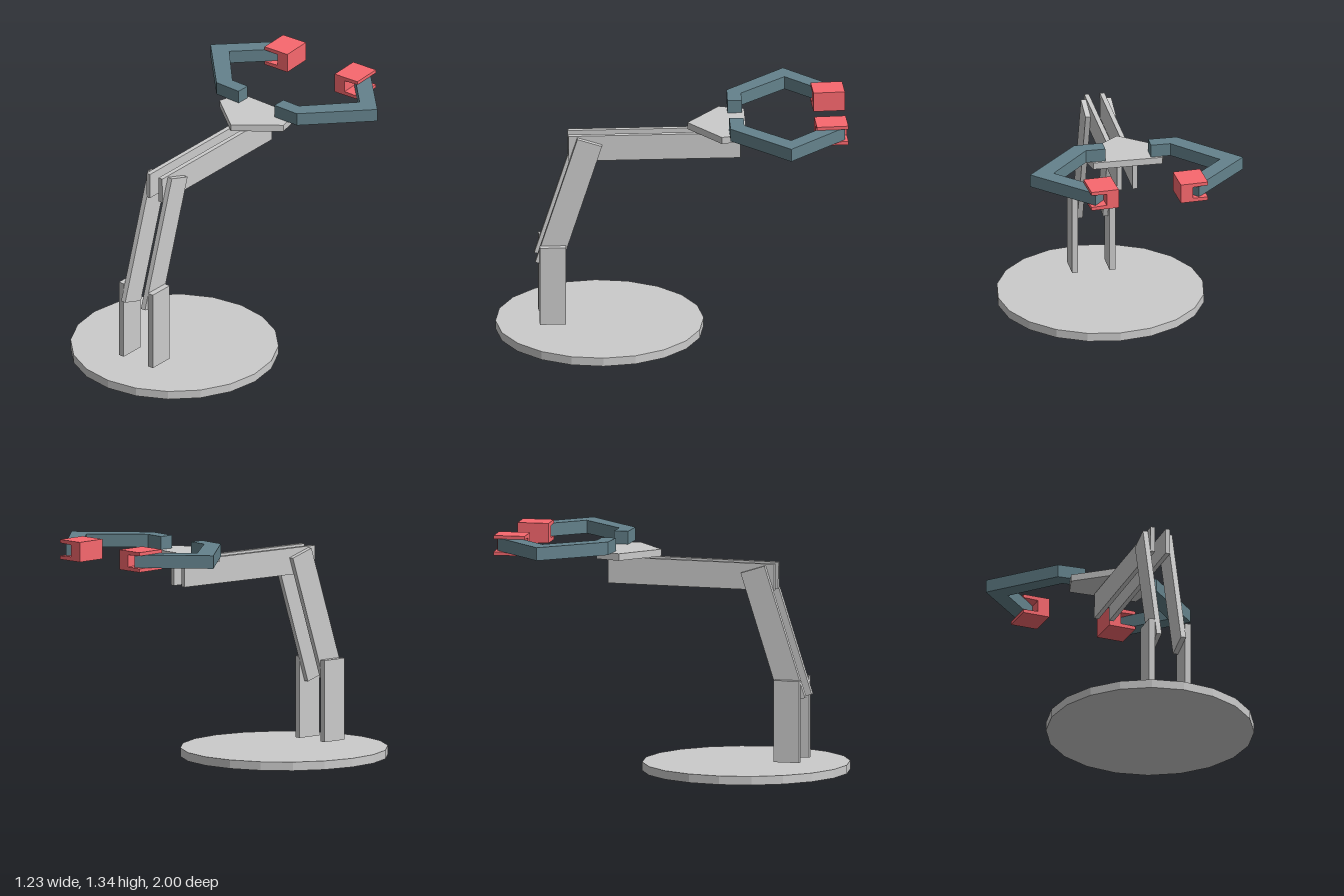
import * as THREE from 'three';

const mat = (color) => new THREE.MeshStandardMaterial({ color, flatShading: true });

// Flat slab from an outline of [x, z] points, between heights y0 and y1
function slab(points, y0, y1) {
  const shape = new THREE.Shape(points.map(([x, z]) => new THREE.Vector2(x, -z)));
  const geo = new THREE.ExtrudeGeometry(shape, { depth: y1 - y0, bevelEnabled: false });
  return geo.rotateX(-Math.PI / 2).translate(0, y0, 0);
}

export function createModel() {
  const model = new THREE.Group();
  model.name = 'robotArm';
  const grey = mat(0xcccccc), teal = mat(0x64828c), red = mat(0xf8686e);

  const add = (name, geo, material, x = 0, y = 0, z = 0) => {
    const mesh = new THREE.Mesh(geo, material);
    mesh.name = name;
    mesh.position.set(x, y, z);
    model.add(mesh);
    return mesh;
  };

  // Round base with 20 sides
  add('base', new THREE.CylinderGeometry(0.593, 0.593, 0.05, 20), grey, -0.002, 0.025, 0.405);

  // Wrist plate: a five-sided shield pointing forwards
  add('wristPlate', slab([[0, -0.095], [0.233, -0.282], [0.2, -0.425], [-0.2, -0.425], [-0.239, -0.282]], 1.21, 1.25), grey);

  // Bent finger outline and the C-shaped profile of its tip
  const finger = [[0.132, -0.41], [0.132, -0.328], [0.297, -0.33], [0.617, -0.663],
    [0.3, -0.98], [0.236, -0.915], [0.482, -0.667], [0.245, -0.41]];
  const clamp = [[-0.08, -0.057], [0.08, -0.057], [0.08, -0.037], [-0.01, -0.034],
    [-0.01, 0.034], [0.08, 0.037], [0.08, 0.057], [-0.08, 0.057]];

  for (const side of [1, -1]) {
    const label = side > 0 ? 'left' : 'right';
    const cx = (x) => side * x - 0.002;

    // Paired arm bars, each pair sitting inside the one below
    add(label + 'Post', new THREE.BoxGeometry(0.035, 0.47, 0.15), grey, cx(0.108), 0.305, 0.675);
    add(label + 'LowerArm', new THREE.BoxGeometry(0.03, 0.787, 0.147), grey, cx(0.073), 0.7925, 0.585)
      .rotation.x = -0.31;
    add(label + 'UpperArm', new THREE.BoxGeometry(0.027, 0.152, 0.98), grey, cx(0.045), 1.125, 0.095)
      .rotation.x = 0.007;

    // Finger
    add(label + 'Finger', slab(finger.map(([x, z]) => [side * x - 0.004, z]), 1.25, 1.325), teal);

    // Fingertip clamp, open towards the outside
    const shape = new THREE.Shape(clamp.map(([x, y]) => new THREE.Vector2(side * x, y)));
    const tip = new THREE.ExtrudeGeometry(shape, { depth: 0.18, bevelEnabled: false }).translate(0, 0, -0.09);
    add(label + 'Clamp', tip, red, side * 0.259 - 0.01, 1.2875, -0.905).rotation.y = 0.065;
  }
  return model;
}
